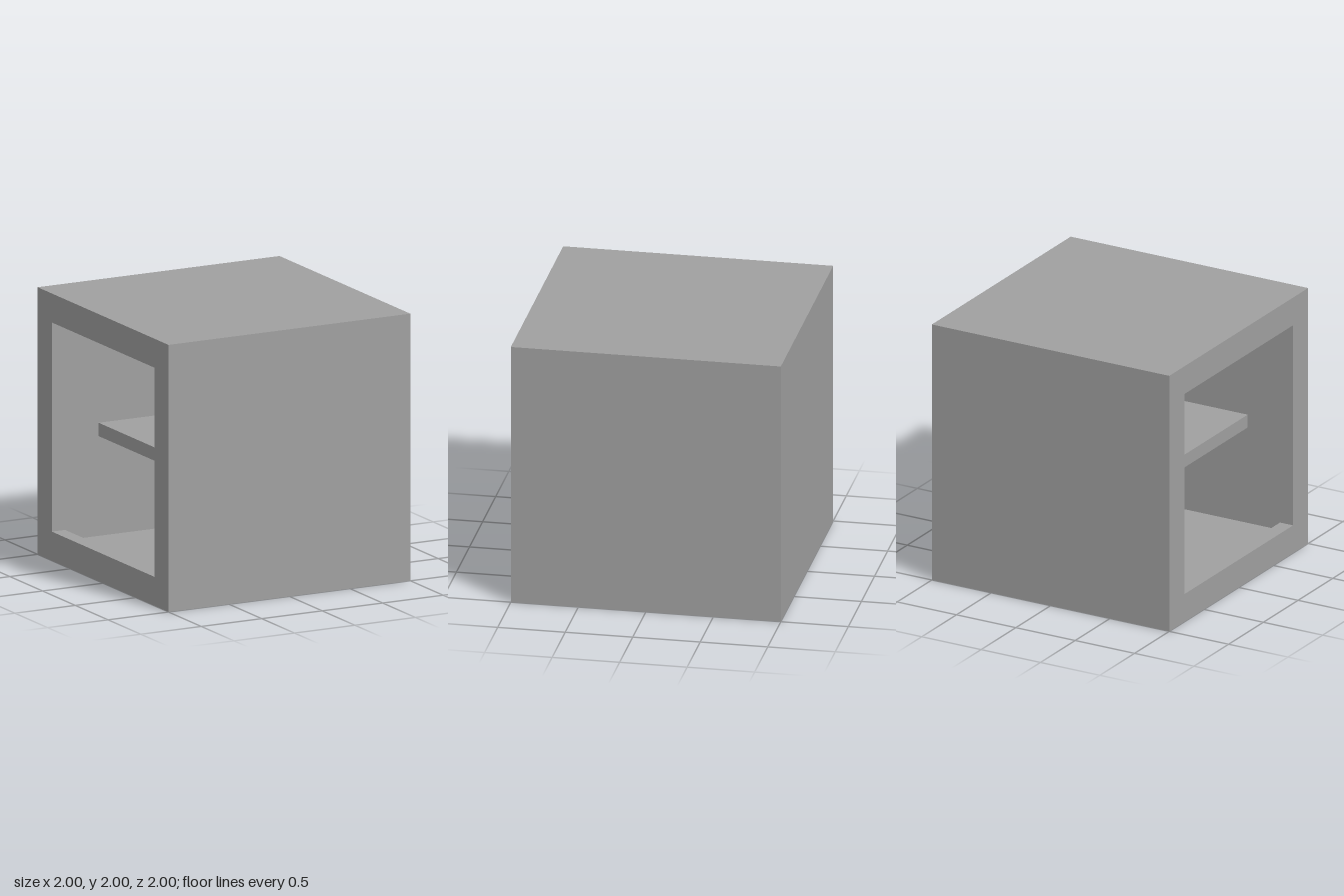
import * as THREE from 'three';

const WALL = 0.11; // panel thickness
const LIP = 0.217; // border around the opening

// Square ring in the z-y plane, running along x from x0 to x1
function squareRing(border, x0, x1) {
  const square = (Type, h) => new Type([
    new THREE.Vector2(-h, -h), new THREE.Vector2(h, -h),
    new THREE.Vector2(h, h), new THREE.Vector2(-h, h),
  ]);
  const shape = square(THREE.Shape, 1);
  shape.holes.push(square(THREE.Path, 1 - border));
  const geometry = new THREE.ExtrudeGeometry(shape, { depth: x1 - x0, bevelEnabled: false });
  return geometry.rotateY(Math.PI / 2).translate(x0, 1, 0);
}

export function createModel() {
  const group = new THREE.Group();
  const grey = new THREE.MeshStandardMaterial({ color: 0xa0a0a0 });
  grey.name = 'grey';

  const add = (name, geometry) => {
    const mesh = new THREE.Mesh(geometry, grey);
    mesh.name = name;
    group.add(mesh);
  };

  // Cabinet body: four walls, closed on the +x side, framed opening on the -x side
  add('cabinetWalls', squareRing(WALL, -1 + WALL, 1 - WALL));
  add('closedPanel', new THREE.BoxGeometry(WALL, 2, 2).translate(1 - WALL / 2, 1, 0));
  add('openingFrame', squareRing(LIP, -1, -1 + WALL));

  // Inner shelf, set back from the opening and let into the walls
  const shelfFront = -0.555, shelfBack = 0.92;
  add('shelf', new THREE.BoxGeometry(shelfBack - shelfFront, 0.1, 1.84)
    .translate((shelfFront + shelfBack) / 2, 0.907, 0));

  return group;
}
